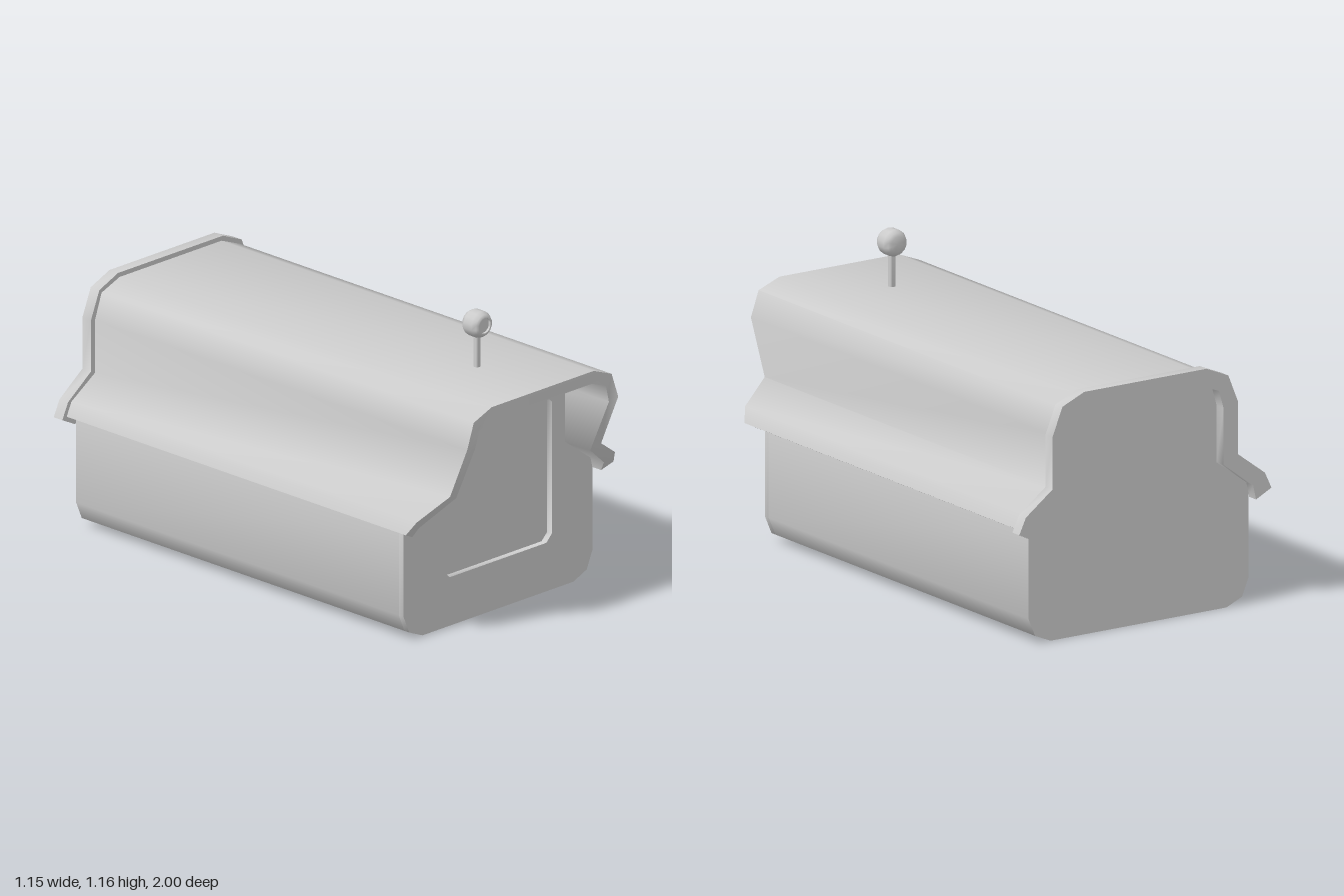
import * as THREE from 'three';
import { toCreasedNormals } from 'three/addons/utils/BufferGeometryUtils.js';

const material = new THREE.MeshStandardMaterial({ color: 0xcccccc });
const CREASE = 1.06;

// Right halves (+x) of the cross-sections, listed from bottom to top
const INNER = [[0.5, 0.43], [0.49, 0.47], [0.355, 0.57], [0.355, 0.79], [0.335, 0.86], [0.26, 0.888]];
const HOOD = [[0.55, 0.455], [0.525, 0.508], [0.4, 0.59], [0.4, 0.8], [0.365, 0.9], [0.27, 0.937]];
const RIM = [[0.573, 0.447], [0.543, 0.51], [0.422, 0.6], [0.422, 0.803], [0.377, 0.913], [0.278, 0.955]];
const BASE = [[0.4, 0], [0.47, 0.03], [0.5, 0.1]];

// Mirrors a half section into a full run from +x over the top to -x
const mirrored = (half) => [...half, ...half.map(([x, y]) => [-x, y]).reverse()];
const points = (list) => list.map(([x, y]) => new THREE.Vector2(x, y));

function part(name, geometry) {
  const mesh = new THREE.Mesh(toCreasedNormals(geometry, CREASE), material);
  mesh.name = name;
  return mesh;
}

function extrude(shape, z0, z1) {
  return new THREE.ExtrudeGeometry(shape, { depth: z1 - z0, bevelEnabled: false }).translate(0, 0, z0);
}

// Open arch between an outer section and an inner section
function archShape(outer, inner) {
  return new THREE.Shape(points([...mirrored(outer), ...mirrored(inner).reverse()]));
}

// Front edge of the hood: upright at the top, swept back towards the flared skirt
function hoodFront(y) {
  if (y >= 0.8) return 1;
  if (y >= 0.59) return THREE.MathUtils.mapLinear(y, 0.59, 0.8, 0.91, 1);
  return THREE.MathUtils.mapLinear(y, 0.445, 0.59, 0.82, 0.91);
}

export function createModel() {
  const model = new THREE.Group();
  model.name = 'cameraHousing';

  // Body with a shallow chamfered window pocket in the front
  const section = points(mirrored([...BASE, ...INNER]));
  model.add(part('body', extrude(new THREE.Shape(section), -0.955, 0.74)));
  const face = new THREE.Shape(section);
  const w = 0.285, y0 = 0.193, y1 = 0.777, c = 0.029;
  face.holes.push(new THREE.Path(points(mirrored([[w - c, y0], [w, y0 + c], [w, y1 - c], [w - c, y1]]))));
  model.add(part('windowFrame', extrude(face, 0.74, 0.765)));

  // Hood with its front end trimmed to the swept edge
  const hood = extrude(archShape(HOOD, INNER), -0.957, 1);
  const pos = hood.attributes.position;
  for (let i = 0; i < pos.count; i++) {
    if (pos.getZ(i) > 0) pos.setZ(i, hoodFront(pos.getY(i)));
  }
  hood.computeVertexNormals();
  model.add(part('hood', hood));

  // Raised rim around the rear of the hood
  const rimInner = [[0.503, 0.412], ...INNER.slice(1)];
  model.add(part('rearRim', extrude(archShape(RIM, rimInner), -1, -0.955)));

  // Mast carrying a small round sensor that faces forward
  const mast = part('mast', new THREE.CylinderGeometry(0.014, 0.014, 0.15, 12));
  mast.position.set(0, 1.005, 0.655);
  model.add(mast);

  const profile = points([
    [0, -0.042], [0.03, -0.042], [0.043, -0.036], [0.052, -0.02], [0.052, 0.02],
    [0.043, 0.036], [0.036, 0.042], [0.03, 0.042], [0.03, 0.032], [0, 0.032],
  ]);
  const sensor = part('sensor', new THREE.LatheGeometry(profile, 14));
  sensor.rotation.x = Math.PI / 2;
  sensor.position.set(0, 1.108, 0.655);
  model.add(sensor);

  return model;
}
